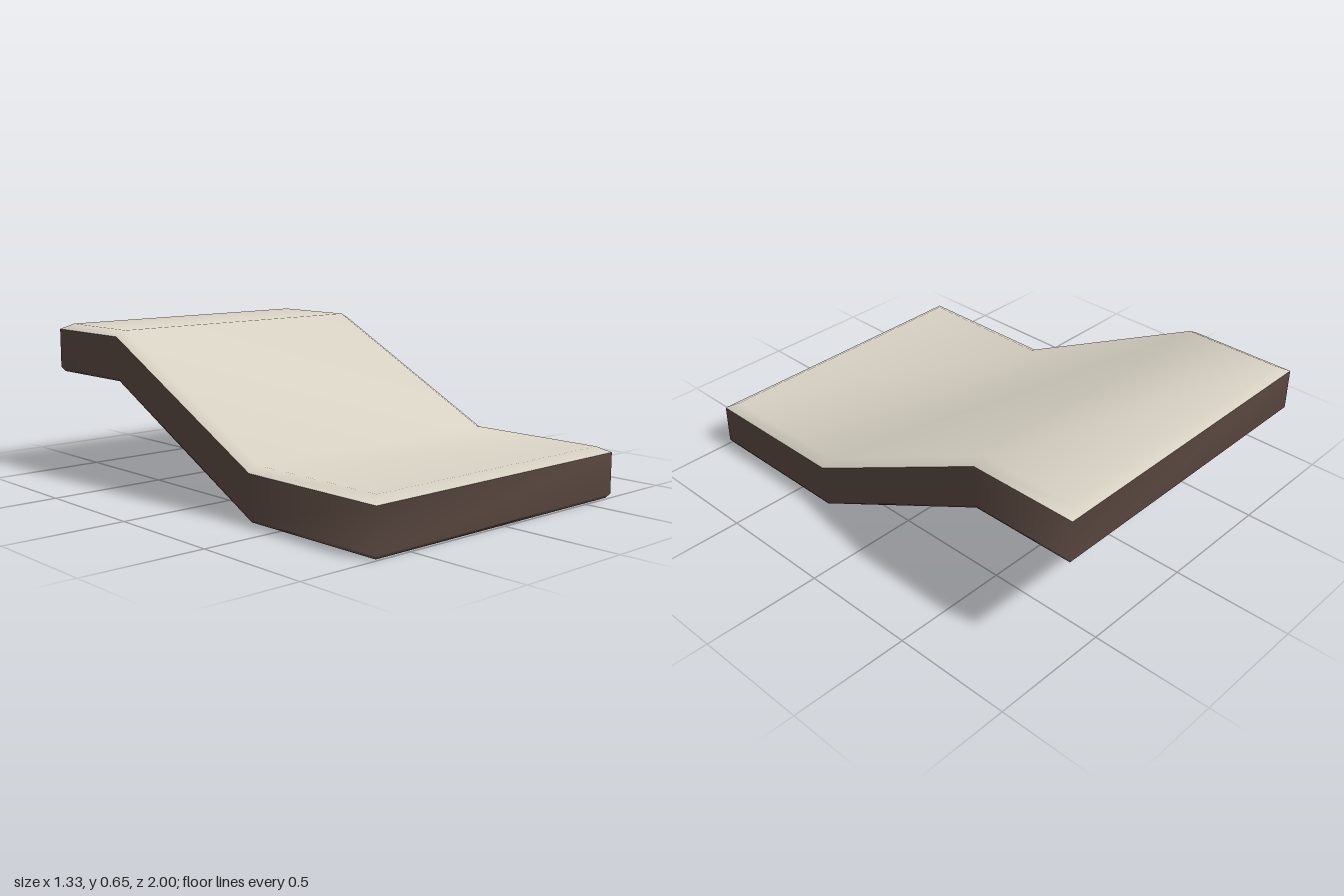
import * as THREE from 'three';

// Outline of the bent slab at one level: up the left side, back down the right side
function ring(inset, endInset, height) {
  const side = [[1 - endInset, 0], [0.33, 0], [-0.545, 0.44], [-1 + endInset, 0.44]];
  const x = 0.665 - inset;
  return [
    ...side.map(([z, y]) => [x, y + height, z]),
    ...[...side].reverse().map(([z, y]) => [-x, y + height, z]),
  ];
}

// Joins rings from bottom to top and closes one end with a bent cap
function shell(rings, capTop) {
  const n = 8, index = [];
  const quad = (a, b, c, d) => index.push(a, b, c, a, c, d);
  for (let r = 0; r < rings.length - 1; r++) {
    for (let i = 0; i < n; i++) {
      const j = (i + 1) % n, lo = r * n, up = lo + n;
      quad(lo + i, lo + j, up + j, up + i);
    }
  }
  const base = capTop ? (rings.length - 1) * n : 0;
  for (let i = 0; i < 3; i++) {
    const q = [i, i + 1, 6 - i, 7 - i].map((k) => base + k);
    if (!capTop) q.reverse();
    quad(...q);
  }
  const geometry = new THREE.BufferGeometry();
  geometry.setAttribute('position', new THREE.Float32BufferAttribute(rings.flat(2), 3));
  geometry.setIndex(index);
  geometry.computeVertexNormals();
  return geometry;
}

export function createModel() {
  const model = new THREE.Group();
  model.name = 'rampSlab';
  const stone = new THREE.MeshStandardMaterial({ name: 'pale stone', color: 0xd8d2c4 });
  const earth = new THREE.MeshStandardMaterial({ name: 'dark brown', color: 0x5a4840 });

  // Walls and underside with a small bottom bevel
  const rim = ring(0, 0, 0.188);
  const body = new THREE.Mesh(
    shell([ring(0.012, 0.014, 0), ring(0, 0, 0.018), rim], false), earth);
  body.name = 'slabBody';

  // Walking surface with a wide, shallow bevel
  const top = new THREE.Mesh(shell([rim, ring(0.045, 0.045, 0.212)], true), stone);
  top.name = 'rampSurface';

  model.add(body, top);
  return model;
}
